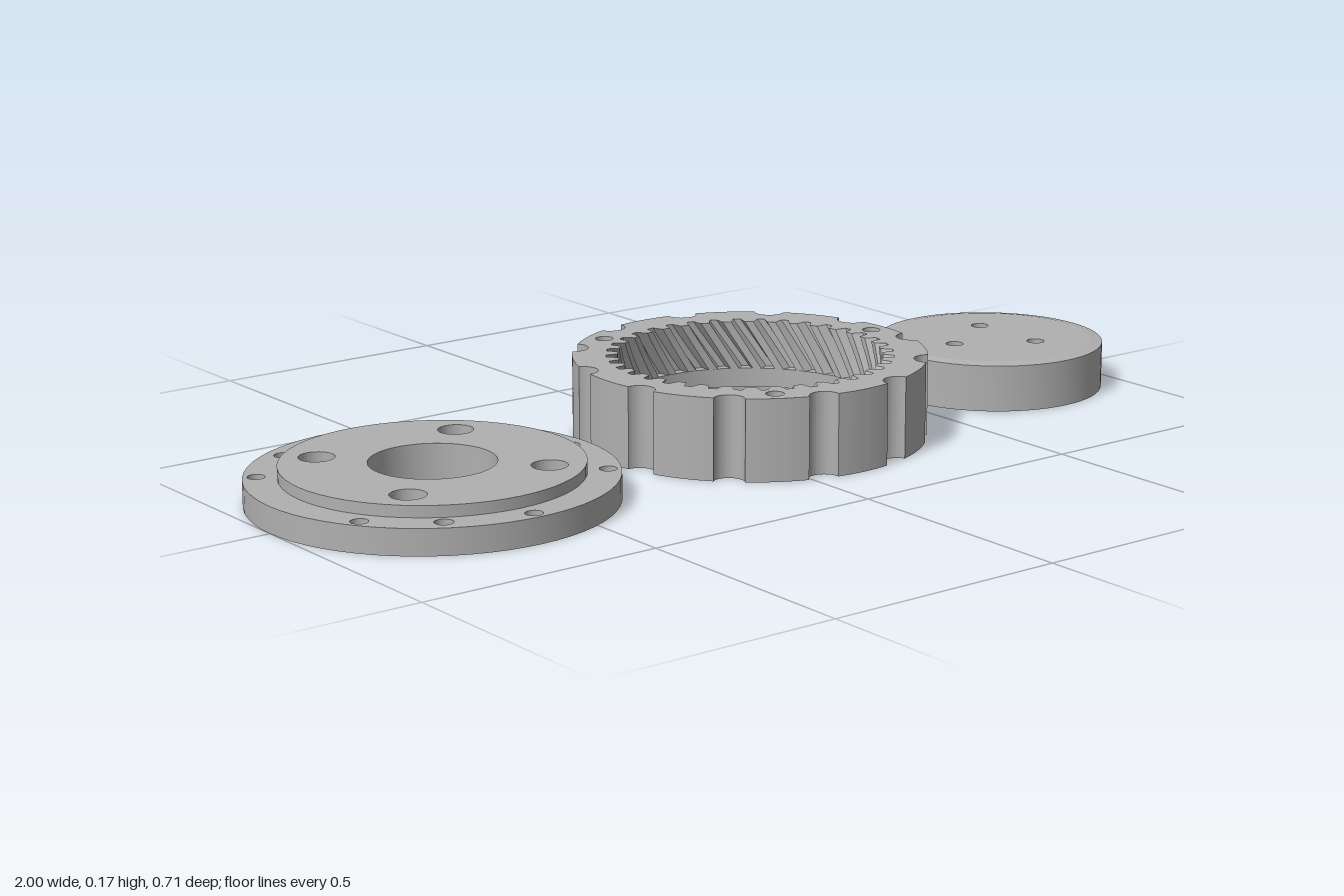
import * as THREE from 'three';
import { toCreasedNormals, mergeGeometries } from 'three/addons/utils/BufferGeometryUtils.js';

const TAU = Math.PI * 2;
const rad = (deg) => deg * Math.PI / 180;
const polar = (r, degs) => degs.map((d) => [r * Math.cos(rad(d)), r * Math.sin(rad(d))]);

// Hole positions shared by the parts
const PINS = polar(0.318, [0, 120, 240]);
const SCREWS = polar(0.329, [33, 90, 147, 213, 270, 327]);
const BOLTS = polar(0.222, [45, 135, 225, 315]);

function disc(r) {
  return new THREE.Shape().absarc(0, 0, r, 0, TAU, false);
}

function drill(shape, points, r) {
  for (const [x, y] of points) shape.holes.push(new THREE.Path().absarc(x, y, r, 0, TAU, true));
  return shape;
}

// A flat profile made solid between two heights
function layer(shape, y0, y1, steps = 1) {
  const g = new THREE.ExtrudeGeometry(shape, { depth: y1 - y0, bevelEnabled: false, curveSegments: 32, steps });
  return g.rotateX(-Math.PI / 2).translate(0, y0, 0);
}

function part(name, layers, material, x) {
  const mesh = new THREE.Mesh(toCreasedNormals(mergeGeometries(layers), 0.12), material);
  mesh.name = name;
  mesh.position.x = x;
  return mesh;
}

// Ring outline with twelve rounded notches
function scalloped(R) {
  const s = new THREE.Shape();
  const c = 0.358, r = 0.031, half = 0.0865;
  for (let i = 0; i < 12; i++) {
    const a = rad(15 + i * 30);
    const cx = c * Math.cos(a), cy = c * Math.sin(a);
    const toCentre = (b) => Math.atan2(R * Math.sin(b) - cy, R * Math.cos(b) - cx);
    s.absarc(0, 0, R, a - rad(30) + half, a - half, false);
    s.absarc(cx, cy, r, toCentre(a - half), toCentre(a + half), true);
  }
  return s;
}

// Internal helical teeth: a toothed annulus twisted with height
function helicalTeeth(y0, y1) {
  const shape = disc(0.294);
  const teeth = 36, tip = 0.265, root = 0.288, pts = [];
  for (let i = 0; i < teeth; i++) {
    for (const [f, r] of [[0.0, tip], [0.38, tip], [0.54, root], [0.84, root]]) {
      const a = -(i + f) / teeth * TAU;
      pts.push(new THREE.Vector2(r * Math.cos(a), r * Math.sin(a)));
    }
  }
  shape.holes.push(new THREE.Path(pts));
  const g = layer(shape, y0, y1, 8);
  const p = g.attributes.position, v = new THREE.Vector3(), up = new THREE.Vector3(0, 1, 0);
  for (let i = 0; i < p.count; i++) {
    v.fromBufferAttribute(p, i);
    v.applyAxisAngle(up, 0.24 * (v.y - y0) / (y1 - y0));
    p.setXYZ(i, v.x, v.y, v.z);
  }
  return g;
}

export function createModel() {
  const group = new THREE.Group();
  const metal = new THREE.MeshStandardMaterial({ color: 0xb0b0b0 });
  metal.name = 'grey metal';

  // Mounting plate: flange with counterbored holes and a raised boss
  const plate = (R, bolt, screw) => {
    const s = drill(drill(disc(R), [[0, 0]], 0.122), BOLTS, bolt);
    return screw ? drill(drill(s, PINS, 0.018), SCREWS, screw) : s;
  };
  group.add(part('mountingPlate', [
    layer(plate(0.355, 0.042, 0.011), 0, 0.015),
    layer(plate(0.355, 0.02, 0.011), 0.015, 0.04),
    layer(plate(0.355, 0.02, 0.017), 0.04, 0.052),
    layer(plate(0.29, 0.035), 0.052, 0.075),
  ], metal, -0.645));

  // Ring gear: recessed underside, smooth band, then helical teeth
  const ring = (inner) => drill(drill(scalloped(0.355), [[0, 0]], inner), PINS, 0.018);
  group.add(part('ringGear', [
    layer(drill(ring(0.292), SCREWS, 0.011), 0, 0.025),
    layer(drill(ring(0.268), SCREWS, 0.011), 0.025, 0.065),
    layer(ring(0.292), 0.065, 0.165),
    helicalTeeth(0.065, 0.165),
  ], metal, 0.115));

  // Carrier disc: three stepped through holes, three blind holes below
  const axles = polar(0.1, [60, 180, 300]);
  const blind = polar(0.155, [0, 120, 240]);
  const rim = layer(drill(disc(0.236), axles, 0.018), 0.096, 0.1);
  const p = rim.attributes.position;
  for (let i = 0; i < p.count; i++) {
    if (p.getY(i) > 0.099 && Math.hypot(p.getX(i), p.getZ(i)) > 0.23) {
      p.setX(i, p.getX(i) * 0.9);
      p.setZ(i, p.getZ(i) * 0.9);
    }
  }
  group.add(part('carrierDisc', [
    layer(drill(drill(disc(0.236), axles, 0.028), blind, 0.015), 0, 0.05),
    layer(drill(disc(0.236), axles, 0.018), 0.05, 0.096),
    rim,
  ], metal, 0.764));

  return group;
}
